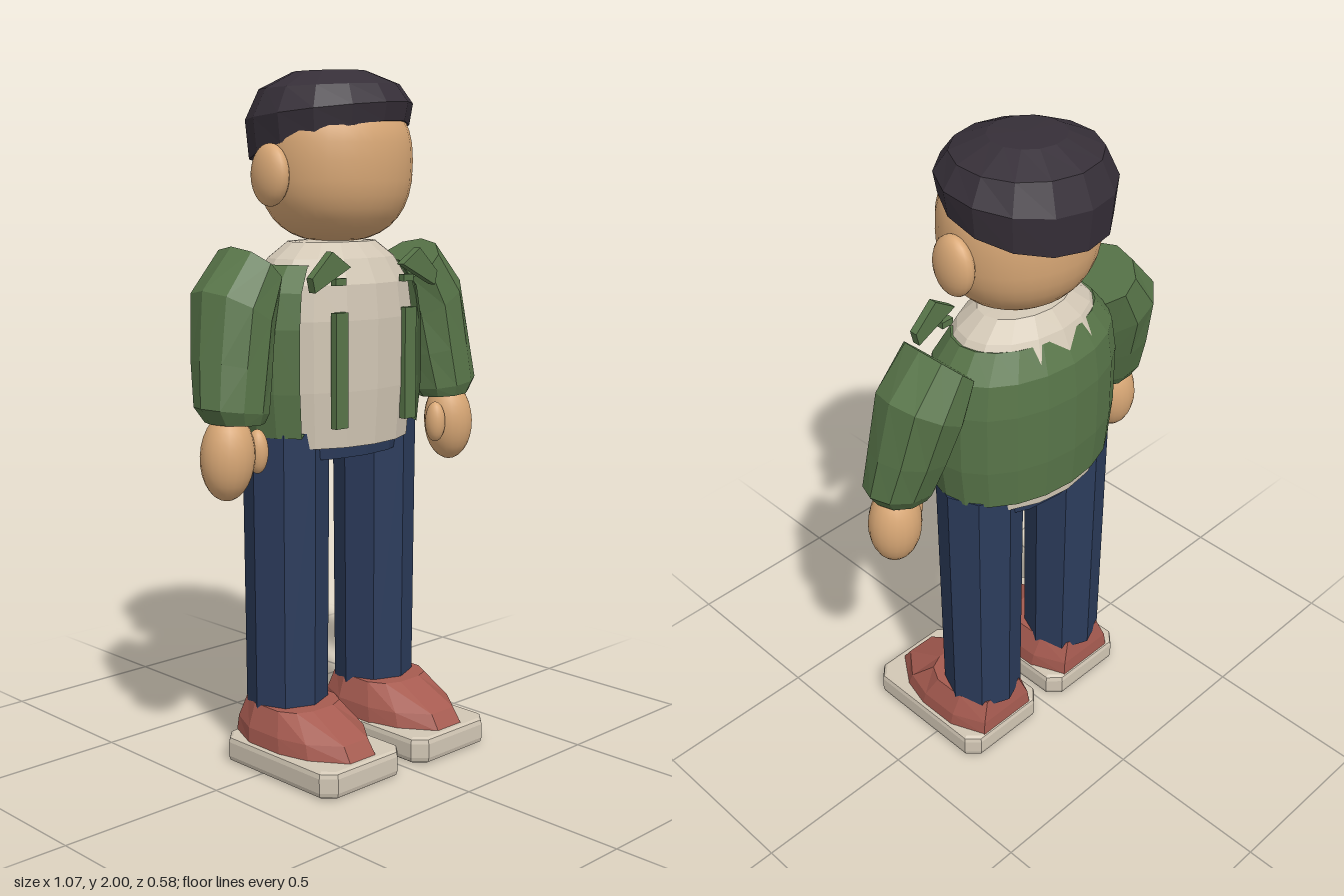
import * as THREE from 'three';
import { mergeVertices } from 'three/addons/utils/BufferGeometryUtils.js';

const V2 = (p) => p.map(([x, y]) => new THREE.Vector2(x, y));

// Faceted normals for low-poly parts
function flat(geo) {
  const g = geo.index ? geo.toNonIndexed() : geo;
  g.computeVertexNormals();
  return g;
}

// Closed skin over rings of points, listed from bottom to top
function loft(rings, flip = false) {
  const n = rings[0].length, pos = [], idx = [];
  const tri = (a, b, c) => (flip ? idx.push(a, c, b) : idx.push(a, b, c));
  rings.forEach((r) => r.forEach((p) => pos.push(...p)));
  for (let j = 0; j < rings.length - 1; j++) {
    for (let i = 0; i < n; i++) {
      const a = j * n + i, b = j * n + ((i + 1) % n);
      tri(a, b, a + n);
      tri(b, b + n, a + n);
    }
  }
  const top = (rings.length - 1) * n;
  for (let i = 1; i < n - 1; i++) {
    tri(0, i + 1, i);
    tri(top, top + i, top + i + 1);
  }
  const g = new THREE.BufferGeometry();
  g.setAttribute('position', new THREE.Float32BufferAttribute(pos, 3));
  g.setIndex(idx);
  return flat(g);
}

export function createModel() {
  const model = new THREE.Group();
  model.name = 'standingFigure';
  const mat = (name, color, side = THREE.FrontSide) => {
    const m = new THREE.MeshStandardMaterial({ color, side });
    m.name = name;
    return m;
  };
  const skin = mat('skin', 0xd9a876);
  const green = mat('jacketGreen', 0x587549, THREE.DoubleSide);
  const cream = mat('cream', 0xd2c7b5);
  const navy = mat('navy', 0x2c3c5c);
  const brick = mat('brickRed', 0xa65b50);
  const dark = mat('capCharcoal', 0x362f38);

  const add = (name, geo, material, x = 0, y = 0, z = 0) => {
    const m = new THREE.Mesh(geo, material);
    m.name = name;
    m.position.set(x, y, z);
    model.add(m);
    return m;
  };
  const ellipsoid = (rx, ry, rz) => new THREE.SphereGeometry(1, 20, 14).scale(rx, ry, rz);

  // Head: squarish rounded profile
  const headProfile = [];
  for (let i = 0; i <= 18; i++) {
    const a = -Math.PI / 2 + (Math.PI * i) / 18, s = Math.sin(a);
    const y = Math.sign(s) * Math.abs(s) ** 0.8 * (s < 0 ? 0.23 : 0.2);
    headProfile.push([0.237 * Math.max(0, Math.cos(a)) ** 0.8, y]);
  }
  headProfile[0][0] = headProfile[18][0] = 0;
  add('head', new THREE.LatheGeometry(V2(headProfile), 32).scale(1, 1, 0.875), skin, 0, 1.742, -0.036);

  // Cap: lathe whose lower rings lean back and to one side
  const cap = new THREE.LatheGeometry(
    V2([[0.2, 1.8], [0.24, 1.795], [0.251, 1.88], [0.21, 1.95], [0.11, 1.993], [0, 1.996]]), 14).scale(1, 1, 0.91);
  const cp = cap.attributes.position;
  for (let i = 0; i < cp.count; i++) {
    const x = cp.getX(i), y = cp.getY(i), z = cp.getZ(i);
    const k = THREE.MathUtils.clamp((2 - y) / 0.2, 0, 1);
    cp.setY(i, y + z * 0.25 * k * k + x * (0.03 + 0.05 * k));
  }
  add('cap', flat(cap), dark, 0, 0, -0.06);

  // Shirt body
  const shirt = new THREE.LatheGeometry(V2([[0, 0.94], [0.262, 0.94], [0.278, 1.1], [0.28, 1.3],
    [0.265, 1.4], [0.215, 1.47], [0.15, 1.515], [0, 1.525]]), 16).scale(1, 1, 0.68);
  add('shirt', flat(shirt), cream, 0, 0, -0.052);

  // Jacket shell, open at the front
  const gap = 0.9;
  const jacket = new THREE.LatheGeometry(V2([[0.275, 0.985], [0.298, 0.975], [0.312, 1.1], [0.312, 1.28],
    [0.295, 1.38], [0.235, 1.455], [0.22, 1.45]]), 14, gap, Math.PI * 2 - 2 * gap).scale(1, 1, 0.655);
  add('jacket', flat(jacket), green, 0, 0, -0.05);

  // Hips
  add('hips', flat(new THREE.CylinderGeometry(0.27, 0.25, 0.1, 14).scale(1, 1, 0.58)), navy, 0, 0.953, -0.055);

  for (const s of [1, -1]) {
    const side = s > 0 ? 'left' : 'right';

    add(side + 'Ear', ellipsoid(0.04, 0.087, 0.068), skin, s * 0.245, 1.702, -0.041);

    // Jacket front edging and collar
    add(side + 'Placket', new THREE.BoxGeometry(0.046, 0.325, 0.022), green, s * 0.138, 1.163, 0.124);
    add(side + 'PlacketTop', new THREE.BoxGeometry(0.04, 0.02, 0.02), green, s * 0.135, 1.41, 0.118);
    const collar = new THREE.Shape(V2([[0.24, 1.385], [0.25, 1.425], [0.175, 1.495], [0.105, 1.45]].map(([x, y]) => [s * x, y])));
    add(side + 'Collar', new THREE.ExtrudeGeometry(collar, { depth: 0.025, bevelEnabled: false }), green, 0, 0, 0.11);

    // Sleeve rings: outer x, y, inner x, y, centre z, half depth
    const sleeve = [
      [0.505, 1.04, 0.335, 1.03, 0.005, 0.078],
      [0.535, 1.085, 0.318, 1.055, 0, 0.095],
      [0.518, 1.21, 0.295, 1.16, -0.022, 0.112],
      [0.487, 1.395, 0.275, 1.27, -0.045, 0.13],
      [0.38, 1.51, 0.25, 1.385, -0.05, 0.118],
    ].map(([ox, oy, ix, iy, cz, rz]) => Array.from({ length: 10 }, (_, i) => {
      const t = ((i + 0.5) / 10) * Math.PI * 2, u = Math.sin(t) / 2;
      return [s * ((ox + ix) / 2 + (ox - ix) * u), (oy + iy) / 2 + (oy - iy) * u, cz + rz * Math.cos(t)];
    }));
    add(side + 'Sleeve', loft(sleeve, s < 0), green);

    // Hand and thumb
    const hand = add(side + 'Hand', ellipsoid(0.077, 0.122, 0.074), skin, s * 0.448, 0.945, 0.006);
    hand.rotation.z = s * 0.06;
    add(side + 'Thumb', ellipsoid(0.03, 0.062, 0.032), skin, s * 0.362, 0.952, 0.03);

    // Trouser leg
    const leg = new THREE.CylinderGeometry(0.125, 0.119, 0.82, 8);
    add(side + 'Leg', flat(leg), navy, s * 0.18, 0.575, -0.055);

    // Shoe upper from mirrored half outlines: half width, z
    const shoe = [
      [0.075, [[0.05, 0.265], [0.12, 0.165], [0.145, 0.07], [0.145, -0.06], [0.1, -0.166]]],
      [0.12, [[0.047, 0.235], [0.115, 0.15], [0.14, 0.06], [0.14, -0.065], [0.095, -0.163]]],
      [0.186, [[0.04, 0.1], [0.085, 0.08], [0.112, 0.03], [0.112, -0.07], [0.07, -0.15]]],
    ].map(([y, half]) => [...half.map(([x, z]) => [x, y, z]), ...half.map(([x, z]) => [-x, y, z]).reverse()]);
    add(side + 'Shoe', loft(shoe), brick, s * 0.182);

    // Sole: rounded slab with bevelled rim
    const c = 0.03, w = 0.143, d = 0.218;
    const outline = new THREE.Shape(V2([[-w + c, -d], [w - c, -d], [w, -d + c], [w, d - c],
      [w - c, d], [-w + c, d], [-w, d - c], [-w, -d + c]]));
    const sole = new THREE.ExtrudeGeometry(outline, { depth: 0.042, bevelThickness: 0.018, bevelSize: 0.012, bevelSegments: 2 });
    sole.rotateX(-Math.PI / 2);
    add(side + 'Sole', flat(sole), cream, s * 0.184, 0.018, 0.057);
  }
  return model;
}
